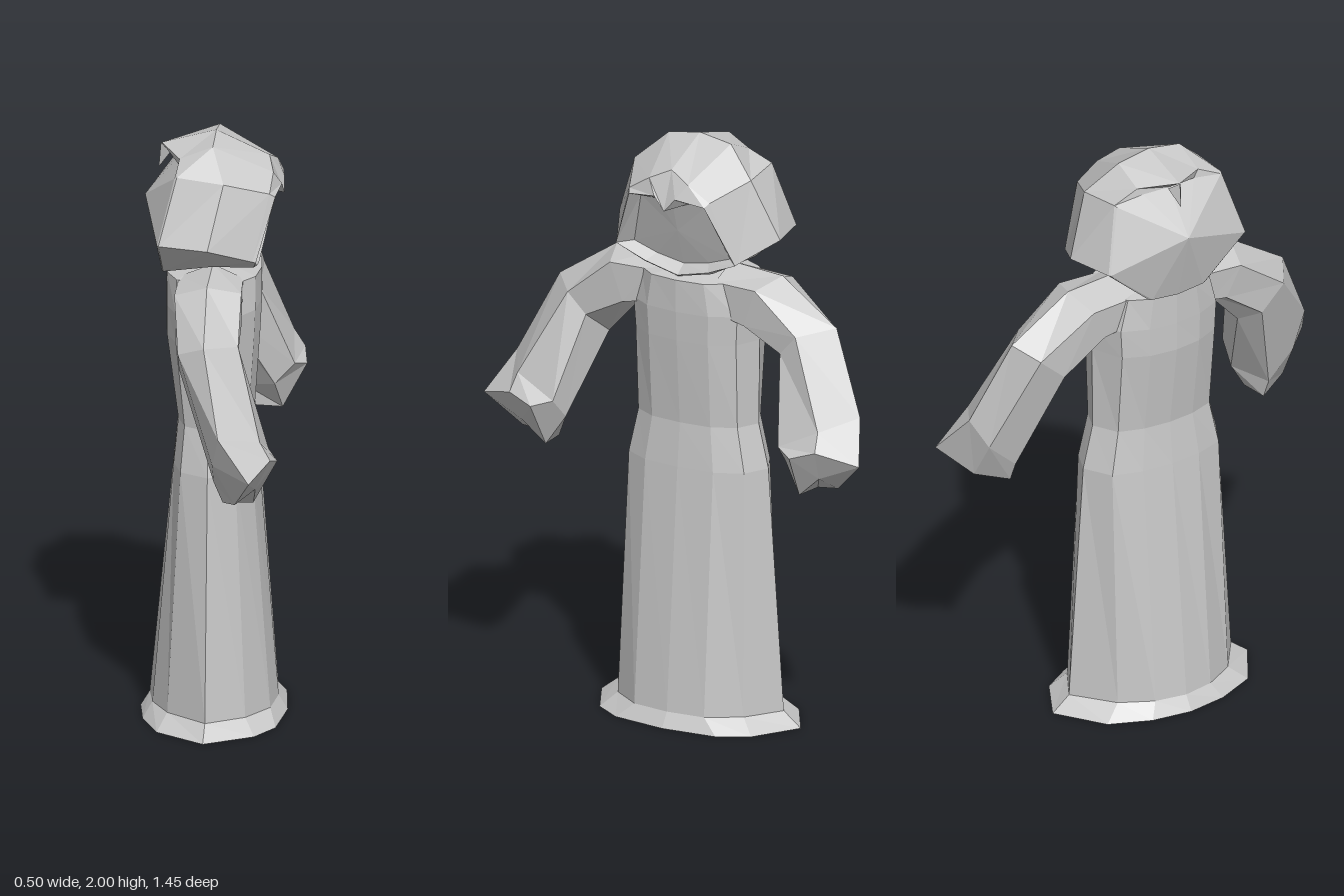
import * as THREE from 'three';

const cloth = new THREE.MeshStandardMaterial({ color: 0xc8c8c8, flatShading: true, side: THREE.DoubleSide });
cloth.name = 'grey cloth';

// Skin a series of equal-length rings; optional centre points close either end
function loft(name, rings, startCap, endCap) {
  const pos = [];
  const tri = (a, b, c) => pos.push(...a, ...b, ...c);
  const n = rings[0].length;
  const last = rings[rings.length - 1];
  for (let j = 0; j < n; j++) {
    const k = (j + 1) % n;
    for (let i = 0; i + 1 < rings.length; i++) {
      tri(rings[i][j], rings[i + 1][j], rings[i + 1][k]);
      tri(rings[i][j], rings[i + 1][k], rings[i][k]);
    }
    if (startCap) tri(startCap, rings[0][j], rings[0][k]);
    if (endCap) tri(endCap, last[k], last[j]);
  }
  const geo = new THREE.BufferGeometry();
  geo.setAttribute('position', new THREE.Float32BufferAttribute(pos, 3));
  geo.computeVertexNormals();
  const mesh = new THREE.Mesh(geo, cloth);
  mesh.name = name;
  return mesh;
}

const flip = ([x, y, z]) => [x, y, -z];

// Close a half profile with its mirror image
const fullRing = (half) => [...half, ...half.slice(1, -1).reverse().map(flip)];

// Twelve-sided ovals, in fractions of their front, back and side reach
const bodyOval = [[1, 0], [0.93, 0.5], [0.6, 0.85], [-0.03, 1], [-0.7, 0.8], [-0.93, 0.42], [-1, 0]];
const skirtOval = [[1, 0], [0.93, 0.42], [0.58, 0.76], [-0.03, 1], [-0.64, 0.68], [-0.91, 0.34], [-1, 0]];
const hemOval = [[1, 0], [0.91, 0.5], [0.65, 0.76], [-0.03, 1], [-0.68, 0.72], [-0.92, 0.36], [-1, 0]];
const ovalRing = (oval, y, front, back, side) =>
  fullRing(oval.map(([u, v]) => [u > 0 ? u * front : u * back, y, v * side]));

export function createModel() {
  const model = new THREE.Group();
  model.name = 'robedFigure';

  // Long robe with a narrow waist, open below
  const floor = ovalRing(skirtOval, 0.05, 0.205, 0.22, 0.32);
  model.add(loft('robe', [
    floor,
    ovalRing(bodyOval, 0.88, 0.14, 0.14, 0.262),
    ovalRing(bodyOval, 1.03, 0.125, 0.125, 0.225),
    ovalRing(bodyOval, 1.32, 0.145, 0.165, 0.228),
    ovalRing(bodyOval, 1.42, 0.15, 0.165, 0.235),
    ovalRing(bodyOval, 1.53, 0.15, 0.165, 0.2),
  ], null, [0, 1.56, 0]));

  // Flared open hem
  model.add(loft('hem', [ovalRing(hemOval, 0, 0.235, 0.25, 0.385), floor]));

  // Sleeves: shoulder, upper arm, elbow, cuff and out-turned closed end
  const sleeve = [
    [[0, 1.575, 0.12], [0.1, 1.53, 0.12], [0.1, 1.41, 0.18], [0, 1.38, 0.18], [-0.1, 1.42, 0.18], [-0.11, 1.53, 0.12]],
    [[0, 1.56, 0.32], [0.11, 1.53, 0.28], [0.105, 1.4, 0.235], [0, 1.38, 0.23], [-0.1, 1.41, 0.24], [-0.11, 1.52, 0.29]],
    [[0.01, 1.42, 0.535], [0.115, 1.4, 0.44], [0.106, 1.33, 0.375], [0, 1.25, 0.35], [-0.085, 1.3, 0.39], [-0.08, 1.38, 0.48]],
    [[0.07, 1.15, 0.663], [0.2, 1.12, 0.58], [0.215, 1.05, 0.435], [0.15, 0.98, 0.425], [0.04, 0.95, 0.5], [0.045, 1.04, 0.6]],
    [[0.177, 1.02, 0.725], [0.235, 1.06, 0.59], [0.25, 1.03, 0.5], [0.17, 0.88, 0.49], [0.07, 0.88, 0.5], [0.12, 0.91, 0.61]],
  ];
  const sleeveEnd = [0.185, 0.955, 0.575];
  model.add(loft('leftSleeve', sleeve, null, sleeveEnd));
  model.add(loft('rightSleeve', sleeve.map((r) => r.map(flip).reverse()), null, flip(sleeveEnd)));

  // Hood from the recessed face, over the rim, to the pointed back
  model.add(loft('hood', [
    [[0.17, 1.8, 0], [0.17, 1.81, 0.06], [0.165, 1.81, 0.125], [0.11, 1.625, 0.185], [0.105, 1.595, 0.1], [0.1, 1.575, 0]],
    [[0.225, 1.79, 0], [0.22, 1.835, 0.04], [0.208, 1.822, 0.145], [0.152, 1.62, 0.23], [0.145, 1.575, 0.12], [0.14, 1.545, 0]],
    [[0.175, 1.92, 0], [0.195, 1.885, 0.075], [0.19, 1.835, 0.155], [0.14, 1.625, 0.235], [0.135, 1.57, 0.13], [0.135, 1.54, 0]],
    [[0, 2, 0], [0, 1.98, 0.12], [0.045, 1.885, 0.225], [0, 1.68, 0.31], [0, 1.58, 0.165], [0, 1.55, 0]],
    [[-0.18, 1.95, 0], [-0.11, 1.935, 0.12], [-0.11, 1.9, 0.21], [-0.165, 1.68, 0.27], [-0.165, 1.54, 0.11], [-0.165, 1.53, 0]],
    [[-0.12, 1.91, 0], [-0.115, 1.91, 0.1], [-0.118, 1.895, 0.205], [-0.17, 1.68, 0.265], [-0.17, 1.54, 0.1], [-0.17, 1.53, 0]],
  ].map(fullRing), [0.14, 1.7, 0], [-0.235, 1.77, 0]));

  // Small hooked tip at the back of the hood
  model.add(loft('hoodTip', [
    [[-0.183, 1.95, 0], [-0.15, 1.925, 0.025], [-0.15, 1.925, -0.025]],
  ], null, [-0.19, 1.865, 0]));

  return model;
}
